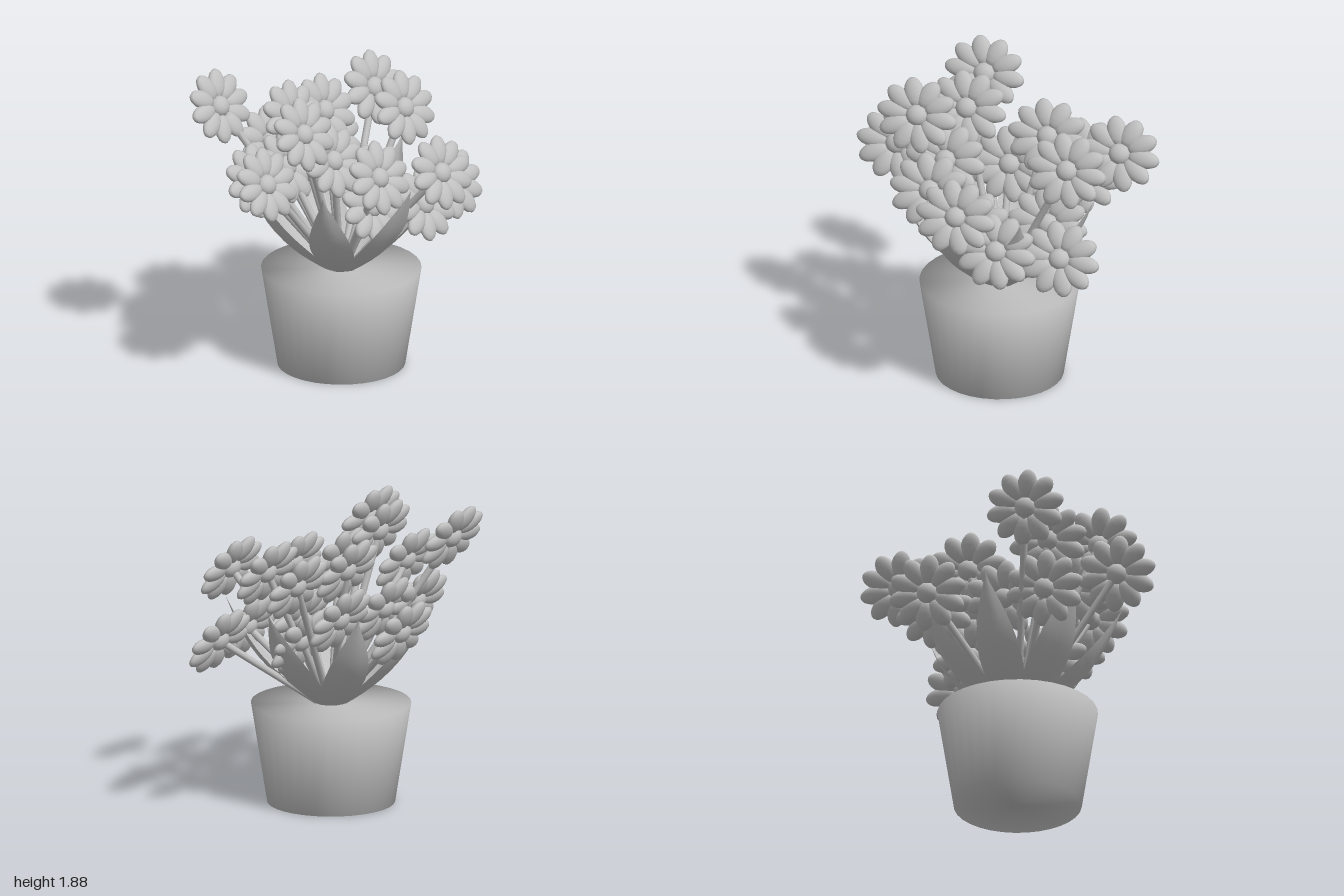
import * as THREE from 'three';
import { mergeGeometries, mergeVertices } from 'three/addons/utils/BufferGeometryUtils.js';

const CENTRE = new THREE.Vector3(0.015, 0, -0.015);

// One flower head facing +z: a button and ten overlapping ellipsoid petals
function flowerGeometry() {
  const parts = [new THREE.SphereGeometry(1, 16, 10).scale(0.07, 0.075, 0.05)];
  const petals = 10;
  for (let i = 0; i < petals; i++) {
    const petal = new THREE.SphereGeometry(1, 14, 10);
    petal.scale(0.105, 0.064, 0.036);
    petal.translate(0.165, 0, 0);
    petal.rotateZ((i / petals) * Math.PI * 2);
    parts.push(petal);
  }
  const head = mergeGeometries(parts);
  head.scale(1.02, 0.87, 1);
  head.rotateX(-0.48); // every head tips back towards the sky
  return head;
}

// A curved, slightly channelled leaf growing out along +x
function leafGeometry() {
  const spine = new THREE.CatmullRomCurve3(
    [[0, 0.57], [0.15, 0.66], [0.32, 0.79], [0.47, 0.95], [0.57, 1.12], [0.65, 1.31]]
      .map(([r, y]) => new THREE.Vector3(r, y, 0)));
  const width = new THREE.SplineCurve(
    [[0, 0.02], [0.2, 0.085], [0.42, 0.132], [0.6, 0.122], [0.8, 0.07], [1, 0]]
      .map(([t, w]) => new THREE.Vector2(t, w)));
  const leaf = new THREE.PlaneGeometry(2, 1, 4, 14);
  const pos = leaf.attributes.position;
  for (let i = 0; i < pos.count; i++) {
    const side = pos.getX(i);
    const t = pos.getY(i) + 0.5;
    const p = spine.getPoint(t);
    const d = spine.getTangent(t);
    const w = Math.max(0, width.getPoint(t).y);
    const lift = 0.3 * w * side * side; // edges curl inward
    pos.setXYZ(i, p.x - d.y * lift, p.y + d.x * lift, side * w);
  }
  leaf.computeVertexNormals();
  return leaf;
}

export function createModel() {
  const model = new THREE.Group();
  model.name = 'pottedFlowers';
  const clay = new THREE.MeshStandardMaterial({ color: 0xc0c0c0 });
  clay.name = 'light grey';
  const leafGrey = clay.clone();
  leafGrey.name = 'light grey leaf';
  leafGrey.side = THREE.DoubleSide;

  const add = (name, geometry, material, parent = model) => {
    const mesh = new THREE.Mesh(geometry, material);
    mesh.name = name;
    parent.add(mesh);
    return mesh;
  };

  // Tapered pot, its rim and base shaded softly into the wall
  let potGeo = new THREE.CylinderGeometry(0.495, 0.395, 0.63, 32);
  potGeo.deleteAttribute('uv');
  potGeo.deleteAttribute('normal');
  potGeo = mergeVertices(potGeo);
  potGeo.computeVertexNormals();
  add('pot', potGeo, clay).position.set(CENTRE.x, 0.315, CENTRE.z);

  // Ring of seven leaves
  const leaves = new THREE.Group();
  leaves.name = 'leaves';
  leaves.position.copy(CENTRE);
  model.add(leaves);
  const leafGeo = leafGeometry();
  for (let i = 0; i < 7; i++) {
    add('leaf', leafGeo, leafGrey, leaves).rotation.y = (i / 7) * Math.PI * 2;
  }

  // Flower heads, each on a straight stem from the middle of the pot
  const heads = [
    [0.24, 1.22, -0.72], [-0.41, 1.68, -0.63], [-0.39, 1.24, -0.37],
    [-0.09, 1.25, -0.35], [0.4, 1.28, -0.37], [0.21, 1.54, -0.28],
    [0.715, 1.54, -0.27], [-0.29, 1.675, -0.16], [-0.72, 1.385, -0.05],
    [0.34, 1.08, -0.03], [0.535, 1.54, 0.09], [-0.51, 1.68, 0.08],
    [-0.28, 1.45, 0.14], [-0.04, 1.1, 0.26], [0.635, 1.085, 0.38],
    [-0.23, 1.39, 0.45], [0.235, 1.08, 0.46], [0.08, 1.385, 0.7],
  ];
  const headGeo = flowerGeometry();
  const root = new THREE.Vector3(CENTRE.x, 0.58, CENTRE.z);
  for (const [x, y, z] of heads) {
    const flower = new THREE.Group();
    flower.name = 'flower';
    model.add(flower);
    const tip = new THREE.Vector3(x, y, z);
    add('flowerHead', headGeo, clay, flower).position.copy(tip);

    const along = tip.clone().sub(root);
    const stem = add('stem', new THREE.CylinderGeometry(0.022, 0.022, along.length(), 10), clay, flower);
    stem.position.copy(root).addScaledVector(along, 0.5);
    stem.quaternion.setFromUnitVectors(new THREE.Vector3(0, 1, 0), along.normalize());
  }
  return model;
}
